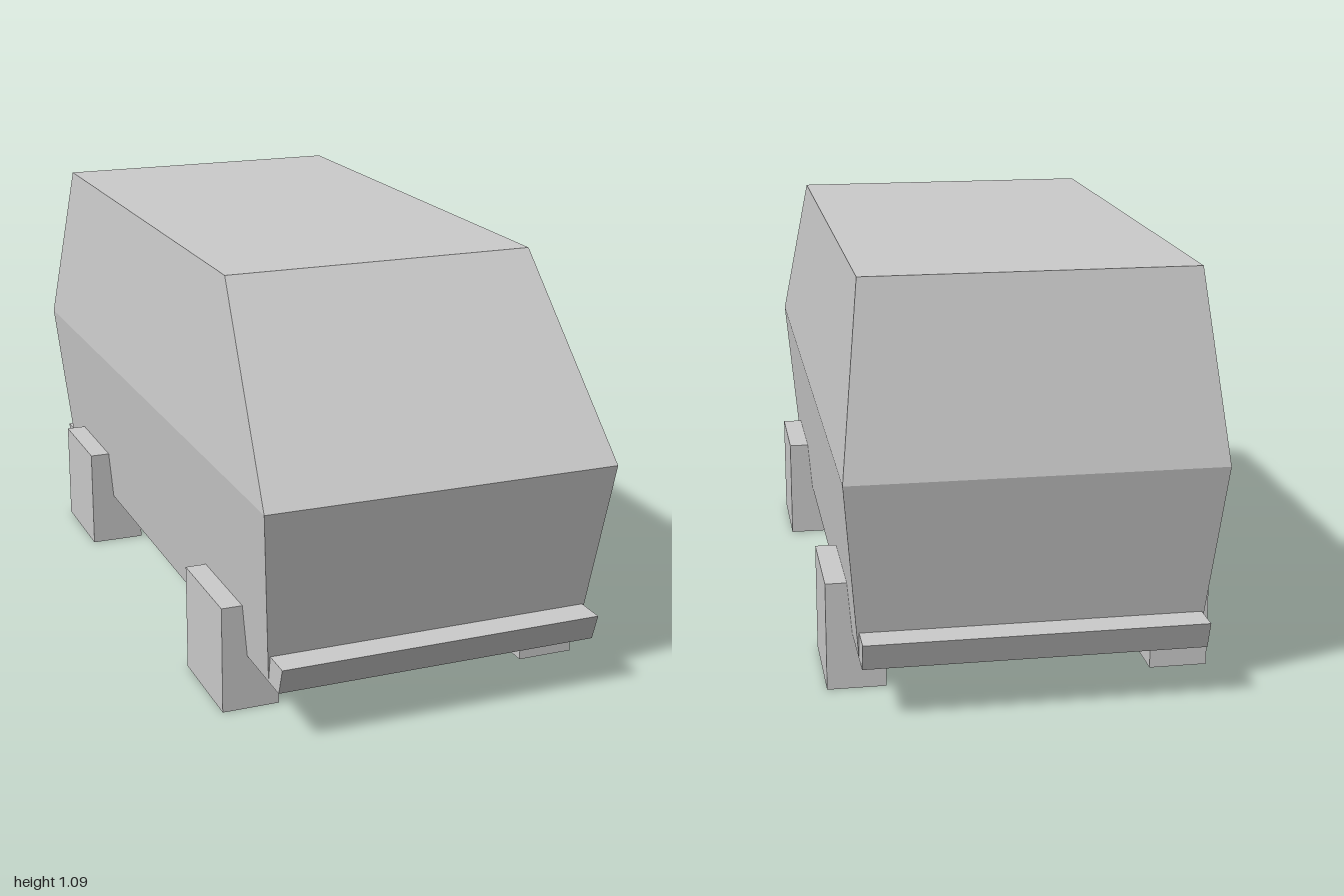
import * as THREE from 'three';

const material = new THREE.MeshStandardMaterial({ color: 0xcccccc, flatShading: true });

// Closed solid through rectangular levels, each [y, halfWidth, frontZ, backZ], bottom to top
function loft(levels) {
  const rings = levels.map(([y, w, f, b]) => [[w, y, f], [w, y, b], [-w, y, b], [-w, y, f]]);
  const positions = [];
  const quad = (a, b, c, d) => positions.push(...a, ...b, ...c, ...a, ...c, ...d);
  for (let k = 0; k < rings.length - 1; k++) {
    for (let i = 0; i < 4; i++) {
      const j = (i + 1) % 4;
      quad(rings[k][i], rings[k][j], rings[k + 1][j], rings[k + 1][i]);
    }
  }
  quad(...rings[rings.length - 1]);
  quad(...[...rings[0]].reverse());
  const geometry = new THREE.BufferGeometry();
  geometry.setAttribute('position', new THREE.Float32BufferAttribute(positions, 3));
  geometry.computeVertexNormals();
  return geometry;
}

export function createModel() {
  const group = new THREE.Group();
  const add = (name, geometry) => {
    const mesh = new THREE.Mesh(geometry, material);
    mesh.name = name;
    group.add(mesh);
    return mesh;
  };

  // Van body: floor, widest waistline, roof with sloped windscreen
  add('body', loft([
    [0.145, 0.43, 0.905, -0.905],
    [0.615, 0.47, 0.99, -0.99],
    [1.087, 0.418, 0.58, -0.875],
  ]));

  // Bumpers, flush with the floor and leaning outward
  add('frontBumper', loft([[0.145, 0.43, 0.975, 0.905], [0.217, 0.43, 1, 0.918]]));
  add('rearBumper', loft([[0.145, 0.43, -0.905, -0.975], [0.217, 0.43, -0.918, -1]]));

  // Block wheels
  const wheel = new THREE.BoxGeometry(0.152, 0.285, 0.285);
  for (const [end, z] of [['front', 0.61], ['rear', -0.61]]) {
    for (const [side, x] of [['Left', 0.421], ['Right', -0.421]]) {
      add(`${end}${side}Wheel`, wheel).position.set(x, 0.1425, z);
    }
  }
  return group;
}
